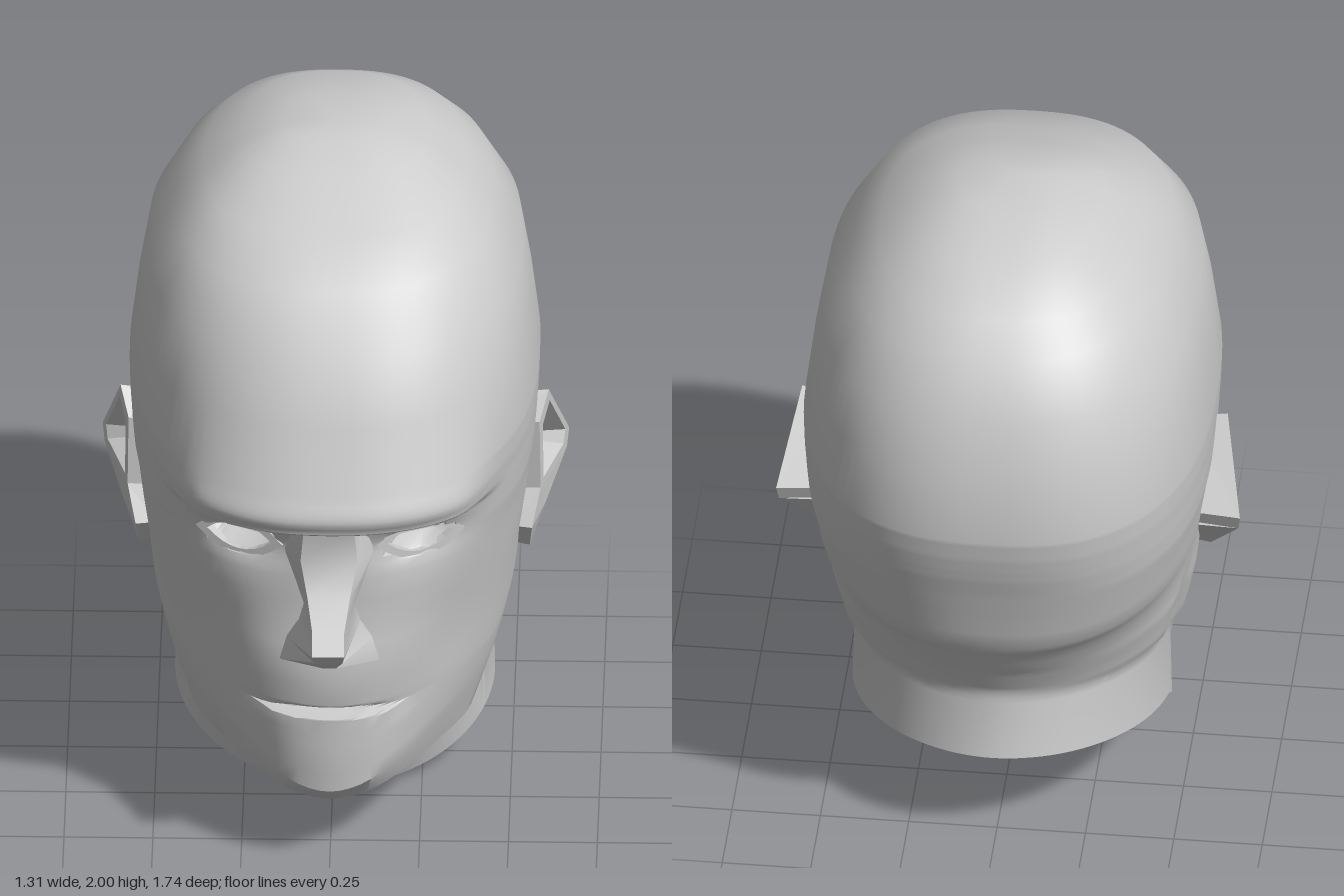
import * as THREE from 'three';
import { toCreasedNormals } from 'three/addons/utils/BufferGeometryUtils.js';

const { lerp, smoothstep } = THREE.MathUtils;
const smooth = new THREE.MeshStandardMaterial({ color: 0xcccccc, side: THREE.DoubleSide });
const faceted = new THREE.MeshStandardMaterial({ color: 0xcccccc, side: THREE.DoubleSide, flatShading: true });

// Skin a list of equally long point rows; closed rows wrap round
function loft(rows, closed) {
  const n = rows[0].length, index = [];
  for (let r = 0; r < rows.length - 1; r++) {
    for (let c = 0; c < (closed ? n : n - 1); c++) {
      const a = r * n + c, d = r * n + (c + 1) % n;
      index.push(a, a + n, d, a + n, d + n, d);
    }
  }
  const geometry = new THREE.BufferGeometry();
  geometry.setAttribute('position', new THREE.Float32BufferAttribute(rows.flat(2), 3));
  geometry.setIndex(index);
  geometry.computeVertexNormals();
  return geometry;
}

function part(name, geometry, material) {
  const mesh = new THREE.Mesh(geometry, material);
  mesh.name = name;
  return mesh;
}

// Horizontal skull rings: y, front z, back z, half width
const SKULL = [
  [2.0, -0.1, -0.1, 0], [1.99, 0.0, -0.26, 0.15], [1.945, 0.13, -0.46, 0.26],
  [1.86, 0.31, -0.61, 0.37], [1.78, 0.49, -0.69, 0.445], [1.63, 0.62, -0.79, 0.525],
  [1.45, 0.69, -0.83, 0.555], [1.27, 0.735, -0.87, 0.577], [1.2, 0.722, -0.86, 0.575],
  [1.155, 0.705, -0.85, 0.572], [1.115, 0.695, -0.84, 0.57], [1.05, 0.68, -0.82, 0.565],
].map(([y, zF, zB, w]) => [y, y, y, y, zF, zB, w, 2.5]);

// Slanted face, jaw and neck rings: y at front, cheek, ear and back; front z, back z, half width, squareness
const FACE = [
  [0.95, 0.97, 1.0, 0.94, 0.67, -0.79, 0.555, 2.4],
  [0.8, 0.85, 0.92, 0.82, 0.665, -0.76, 0.545, 2.25],
  [0.66, 0.7, 0.82, 0.75, 0.685, -0.71, 0.53, 2.05],
  [0.54, 0.57, 0.73, 0.68, 0.675, -0.67, 0.52, 1.95],
  [0.5, 0.54, 0.69, 0.65, 0.668, -0.65, 0.516, 1.95],
  [0.38, 0.46, 0.61, 0.59, 0.665, -0.62, 0.5, 1.9],
  [0.27, 0.41, 0.545, 0.55, 0.655, -0.6, 0.485, 1.9],
  [0.2, 0.28, 0.5, 0.53, 0.6, -0.6, 0.455, 1.85],
  [0.16, 0.18, 0.46, 0.51, 0.29, -0.6, 0.445, 1.9],
  [0.0, -0.036, 0.25, 0.34, 0.2, -0.63, 0.45, 1.9],
];

// Subdivisions after each ring, finest at the eyes and mouth
const STEPS = [1, 1, 1, 1, 1, 1, 1, 5, 5, 5, 5, 5, 2, 2, 2, 8, 3, 2, 1, 1, 1];
const COLS = 96, MID = -0.1;

// Height of a slanted ring at depth z
function ringHeight([yF, yM, yS, yB, zF, zB], z) {
  if (z > 0.25) return lerp(yM, yF, ((z - 0.25) / Math.max(zF - 0.25, 0.01)) ** 3);
  if (z > -0.15) return lerp(yS, yM, (z + 0.15) / 0.4);
  return lerp(yS, yB, (z + 0.15) / Math.min(zB + 0.15, -0.01));
}

const bump = (d, size) => Math.exp(-((d / size) ** 2));

// Raise the brow, lower lip and chin; press in eye sockets, cheeks and mouth slit
function sculpt(x, y, z) {
  if (z < 0.2) return z;
  const ax = Math.abs(x), dx = ax - 0.245, dy = y - 1.05;
  const overhang = y > 1.155 ? bump(y - 1.18, 0.09) : smoothstep(y, 1.115, 1.155);
  z += 0.068 * overhang * (1 - smoothstep(ax, 0.36, 0.5));
  const lip = smoothstep(y, 0.16, 0.27) * (1 - smoothstep(y, 0.511, 0.519));
  z += 0.036 * lip * (1 - smoothstep(ax, 0.1, 0.3));
  z -= 0.045 * bump(dx, 0.14) * bump(dy, 0.07) + 0.02 * bump(ax - 0.34, 0.1) * bump(y - 0.7, 0.12);
  z -= 0.07 * smoothstep(1 - (dx / 0.095) ** 2 - (dy / 0.042) ** 2, 0, 0.5);
  return z - 0.025 * bump(y - 0.522, 0.007) * Math.max(0, 1 - (x / 0.17) ** 2);
}

function ringPoints(ring) {
  const [, , , , zF, zB, w, e] = ring, row = [];
  for (let i = 0; i < COLS; i++) {
    const t = (i / COLS) * Math.PI * 2, s = Math.sin(t), c = Math.cos(t);
    const z = MID + (c > 0 ? zF - MID : MID - zB) * Math.sign(c) * Math.abs(c) ** (2 / e);
    const y = ringHeight(ring, z);
    let x = w * Math.abs(s) ** (2 / e);
    // Step in from the jaw to the nape behind the ear
    if (y < 0.92) {
      const nape = Math.min(x, 0.45 + 0.27 * Math.max(0, y - 0.55));
      x = lerp(x, nape, smoothstep(-0.13 - 0.24 * (y - 0.54) - z, 0, 0.06));
    }
    x *= Math.sign(s);
    row.push([x, y, sculpt(x, y, z)]);
  }
  return row;
}

function headGeometry() {
  const keys = [...SKULL, ...FACE], rows = [];
  STEPS.forEach((steps, k) => {
    for (let s = 0; s < steps; s++) {
      rows.push(ringPoints(keys[k].map((v, i) => lerp(v, keys[k + 1][i], s / steps))));
    }
  });
  rows.push(ringPoints(keys[keys.length - 1]));
  return toCreasedNormals(loft(rows, true), 0.6);
}

// Nose sections: y, base half width, ridge half width, ridge z
function noseGeometry() {
  const rows = [
    [1.16, 0.1, 0.07, 0.74], [1.04, 0.13, 0.08, 0.72], [0.95, 0.1, 0.06, 0.77],
    [0.87, 0.075, 0.045, 0.83], [0.815, 0.09, 0.045, 0.872], [0.76, 0.125, 0.04, 0.81],
    [0.69, 0.145, 0.02, 0.72], [0.7, 0.13, 0.02, 0.63],
  ].map(([y, base, ridge, z]) => [
    [-base, y, 0.6], [-base * 0.95, y, Math.min(z, 0.67)], [-ridge, y, z],
    [ridge, y, z], [base * 0.95, y, Math.min(z, 0.67)], [base, y, 0.6],
  ]);
  return toCreasedNormals(loft(rows, false), 0.75);
}

// Almond eyelid rim
function almond(shape, w, h) {
  shape.moveTo(-w, 0);
  shape.quadraticCurveTo(0, h * 2, w, 0);
  shape.quadraticCurveTo(0, -h * 2, -w, 0);
  return shape;
}

function eyelidGeometry() {
  const shape = almond(new THREE.Shape(), 0.135, 0.065);
  shape.holes.push(almond(new THREE.Path(), 0.1, 0.043));
  return new THREE.ExtrudeGeometry(shape, { depth: 0.025, bevelEnabled: false, curveSegments: 8 });
}

// Ear piece: an outline of [z, y] raised from the head, optionally hollowed
function earGeometry(outline, hollow) {
  const n = outline.length;
  const cz = outline.reduce((s, p) => s + p[0], 0) / n, cy = outline.reduce((s, p) => s + p[1], 0) / n;
  const outer = (z, y) => 0.575 + 0.3 * Math.max(0, 0.05 - z) - 0.22 * Math.max(0, 0.86 - y);
  const loop = (scale, rise) => outline.map(([z0, y0]) => {
    const z = lerp(cz, z0, scale), y = lerp(cy, y0, scale);
    return [rise === null ? 0.5 : outer(z, y) + rise, y, z];
  });
  const rows = [loop(0.92, null), loop(1, 0)];
  if (hollow) rows.push(loop(0.76, 0), loop(0.5, -0.07));
  rows.push(loop(0.001, hollow ? -0.07 : 0.01));
  return loft(rows, true);
}

export function createModel() {
  const model = new THREE.Group();
  model.name = 'head';
  model.add(part('skullFaceAndNeck', headGeometry(), smooth), part('nose', noseGeometry(), smooth));

  // Paired features, mirrored across x
  const lid = eyelidGeometry();
  const upperEar = earGeometry([[0.04, 1.1], [0.03, 0.87], [-0.2, 0.88], [-0.22, 0.93], [-0.04, 1.16]], true);
  const lobe = earGeometry([[0.03, 0.88], [0.085, 0.78], [0.0, 0.675], [-0.2, 0.88]], false);
  for (const [label, sign] of [['left', 1], ['right', -1]]) {
    const side = new THREE.Group();
    side.name = label + 'Features';
    const eyelid = part(label + 'Eyelid', lid, smooth);
    eyelid.position.set(0.245, 1.05, 0.575);
    eyelid.rotation.y = 0.43;
    side.add(eyelid, part(label + 'Ear', upperEar, faceted), part(label + 'EarLobe', lobe, faceted));
    side.scale.x = sign;
    model.add(side);
  }
  return model;
}
